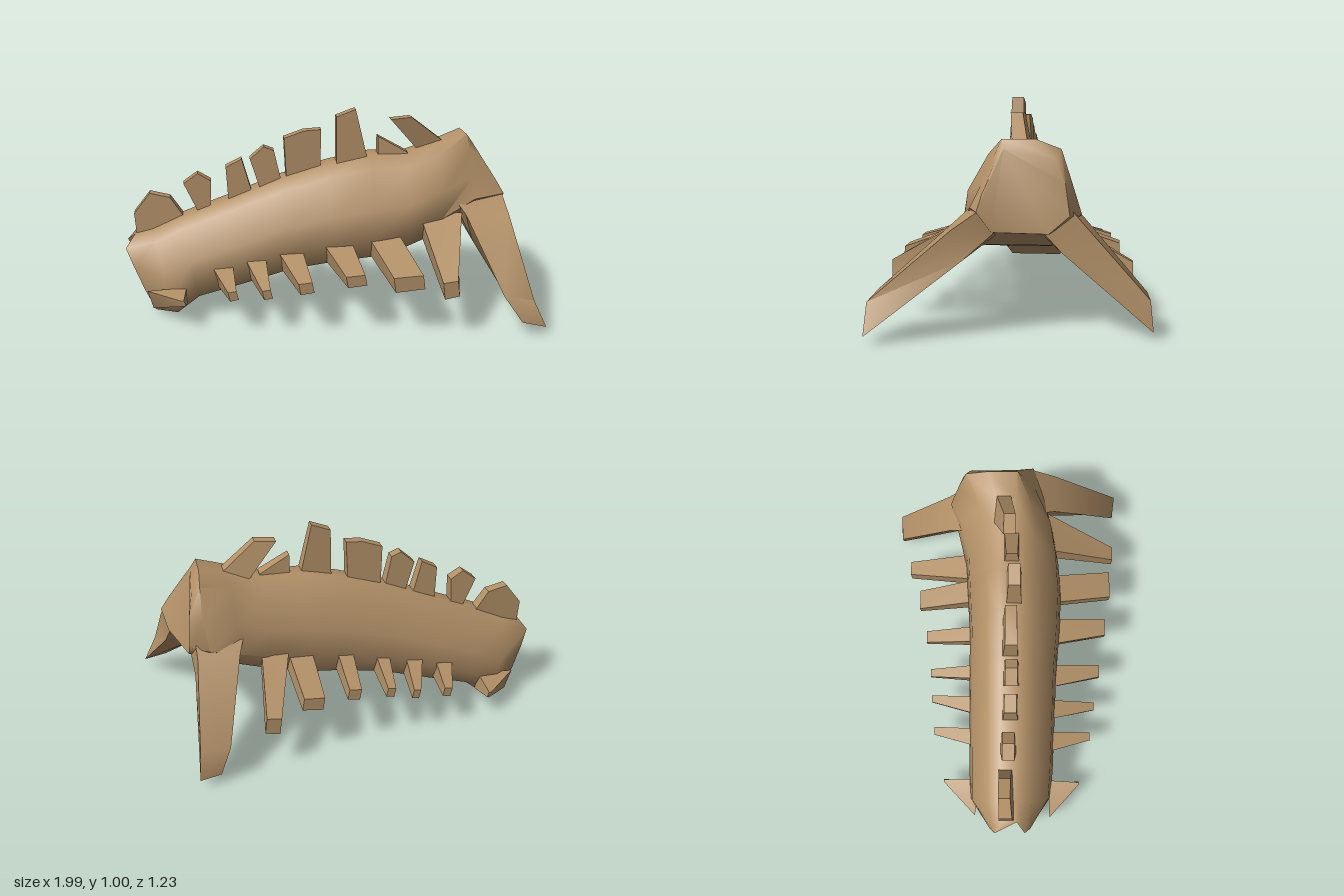
import * as THREE from 'three';
import { toCreasedNormals } from 'three/addons/utils/BufferGeometryUtils.js';

// Skin a row of equal-sized closed loops of [x, y, z] points; the last loop is
// always capped, the first only if asked (roots buried in the body stay open).
function loft(loops, crease, capStart = false) {
  const n = loops[0].length, pts = loops.flat(), idx = [];
  for (let i = 0; i < loops.length - 1; i++) {
    for (let j = 0; j < n; j++) {
      const a = i * n + j, b = i * n + (j + 1) % n;
      idx.push(a, b, a + n, b, b + n, a + n);
    }
  }
  const last = (loops.length - 1) * n;
  for (let j = 1; j < n - 1; j++) {
    idx.push(last, last + j, last + j + 1);
    if (capStart) idx.push(0, j + 1, j);
  }
  // Signed volume tells whether the faces point outward.
  let volume = 0;
  const origin = new THREE.Vector3(...pts[0]);
  const v = i => new THREE.Vector3(...pts[i]).sub(origin);
  for (let i = 0; i < idx.length; i += 3) {
    volume += v(idx[i]).dot(v(idx[i + 1]).cross(v(idx[i + 2])));
  }
  if (volume < 0) idx.reverse();
  const geo = new THREE.BufferGeometry();
  geo.setAttribute('position', new THREE.Float32BufferAttribute(pts.flat(), 3));
  geo.setIndex(idx);
  return toCreasedNormals(geo, crease);
}

export function createModel() {
  const group = new THREE.Group();
  const bone = new THREE.MeshStandardMaterial({ color: 0xb39168 });
  bone.name = 'tan bone';
  const add = (name, geo) => {
    const mesh = new THREE.Mesh(geo, bone);
    mesh.name = name;
    group.add(mesh);
  };

  // Body: [top x, top y, bottom x, bottom y, reach to -z, reach to +z]
  const stations = [
    [-0.86, 0.41, -0.75, 0.005, 0.2, 0.22],
    [-0.70, 0.48, -0.64, 0.09, 0.2, 0.23],
    [-0.48, 0.56, -0.42, 0.15, 0.2, 0.24],
    [-0.22, 0.66, -0.18, 0.22, 0.2, 0.25],
    [0.02, 0.73, 0.04, 0.255, 0.2, 0.27],
    [0.22, 0.77, 0.22, 0.275, 0.21, 0.28],
    [0.42, 0.77, 0.40, 0.32, 0.22, 0.27],
    [0.58, 0.82, 0.56, 0.38, 0.26, 0.24],
  ];
  // Half section: [fraction down from the top, fraction of the reach]
  const half = [[0, 0.2], [0.1, 0.52], [0.48, 0.92], [0.78, 1], [1, 0.67]];
  const ring = ([tx, ty, bx, by, back, front]) => {
    const at = (t, z) => [tx + (bx - tx) * t, ty + (by - ty) * t, z];
    return [
      ...half.map(([t, w]) => at(t, w * front)),
      ...half.slice().reverse().map(([t, w]) => at(t, -w * back)),
    ];
  };
  // Blunt rear plate, then the trunk
  const rear = [[-0.95, 0.39, 0.04], [-0.995, 0.33, 0.08], [-0.96, 0.25, 0.11], [-0.91, 0.13, 0.13], [-0.86, 0.015, 0.12]];
  const loops = [
    [...rear, ...rear.slice().reverse().map(([x, y, z]) => [x, y, -z * 0.85])],
    ...stations.map(ring),
  ];
  // Shoulder ring and the slanting face in front of it
  loops.push([
    [0.72, 0.86, 0.05], [0.73, 0.79, 0.08], [0.74, 0.66, 0.14], [0.74, 0.56, 0.19], [0.70, 0.43, 0.10],
    [0.69, 0.43, -0.16], [0.71, 0.53, -0.30], [0.73, 0.68, -0.255], [0.73, 0.82, -0.21], [0.72, 0.86, -0.10],
  ]);
  loops.push([
    [0.75, 0.82, 0.04], [0.79, 0.75, 0.08], [0.86, 0.64, 0.12], [0.90, 0.57, 0.14], [0.875, 0.48, 0.08],
    [0.80, 0.46, -0.16], [0.80, 0.54, -0.25], [0.79, 0.68, -0.23], [0.77, 0.78, -0.19], [0.75, 0.82, -0.09],
  ]);
  add('body', loft(loops, 1.0, true));

  // Front legs: quad sections from shoulder to foot
  add('leftFrontLeg', loft([
    [[0.62, 0.59, 0.15], [0.89, 0.575, 0.13], [0.87, 0.475, 0.07], [0.69, 0.43, 0.08]],
    [[0.68, 0.50, 0.25], [0.90, 0.49, 0.25], [0.89, 0.36, 0.20], [0.73, 0.35, 0.20]],
    [[0.79, 0.20, 0.59], [0.93, 0.18, 0.61], [0.995, 0.045, 0.615], [0.88, 0.07, 0.61]],
  ], 1.2));
  add('rightFrontLeg', loft([
    [[0.53, 0.58, -0.21], [0.77, 0.58, -0.24], [0.79, 0.47, -0.13], [0.62, 0.42, -0.12]],
    [[0.57, 0.50, -0.30], [0.77, 0.50, -0.31], [0.78, 0.37, -0.22], [0.64, 0.37, -0.22]],
    [[0.67, 0.18, -0.59], [0.81, 0.18, -0.60], [0.82, 0.04, -0.615], [0.72, 0.05, -0.60]],
  ], 1.2));

  // Ribs: [root x from, to, belly y, tip x from, to, tip y, tip z, tip half height]
  const ribs = [
    [-0.89, -0.70, 0.03, -0.72, -0.70, 0.14, 0.365, 0.015],
    [-0.57, -0.47, 0.14, -0.50, -0.45, 0.19, 0.425, 0.025],
    [-0.41, -0.31, 0.18, -0.34, -0.29, 0.20, 0.45, 0.025],
    [-0.25, -0.13, 0.215, -0.17, -0.095, 0.235, 0.48, 0.03],
    [-0.03, 0.11, 0.255, 0.05, 0.15, 0.275, 0.515, 0.03],
    [0.19, 0.34, 0.29, 0.27, 0.42, 0.265, 0.55, 0.04],
    [0.46, 0.67, 0.37, 0.50, 0.58, 0.235, 0.575, 0.045],
    [-0.88, -0.69, 0.03, -0.70, -0.68, 0.12, -0.335, 0.015],
    [-0.54, -0.45, 0.14, -0.47, -0.42, 0.20, -0.385, 0.025],
    [-0.38, -0.29, 0.18, -0.30, -0.255, 0.22, -0.40, 0.025],
    [-0.20, -0.13, 0.215, -0.17, -0.12, 0.25, -0.405, 0.025],
    [-0.01, 0.07, 0.255, 0.01, 0.08, 0.28, -0.43, 0.03],
    [0.20, 0.32, 0.29, 0.20, 0.31, 0.28, -0.47, 0.035],
    [0.31, 0.45, 0.33, 0.42, 0.50, 0.225, -0.53, 0.045],
  ];
  for (const [r0, r1, belly, t0, t1, ty, tz, h] of ribs) {
    const side = Math.sign(tz), flank = side > 0 ? 0.21 : 0.17;
    // Root flush with the flank above and the belly edge below, then a thin tip
    add(side > 0 ? 'leftRib' : 'rightRib', loft([
      [
        [r0, belly + 0.12, side * flank], [r1, belly + 0.13, side * flank],
        [r1, belly + 0.02, side * 0.14], [r0 + 0.02, belly, side * 0.14],
      ],
      [
        [t0, ty + h * 0.8, tz], [t1 - 0.01, ty + h, tz],
        [t1, ty - h * 0.7, tz], [t0 + 0.01, ty - h, tz],
      ],
    ], 0.9));
  }

  // Back spines: side outline rising from just under the back, base z, tip z
  const spines = [
    [[[-0.94, 0.37], [-0.95, 0.49], [-0.87, 0.59], [-0.77, 0.565], [-0.70, 0.46], [-0.80, 0.40]], -0.01, -0.02],
    [[[-0.63, 0.49], [-0.64, 0.52], [-0.70, 0.64], [-0.63, 0.69], [-0.565, 0.65], [-0.57, 0.51]], 0, 0],
    [[[-0.48, 0.54], [-0.49, 0.72], [-0.41, 0.76], [-0.36, 0.58]], 0.01, 0.01],
    [[[-0.32, 0.60], [-0.37, 0.76], [-0.30, 0.82], [-0.25, 0.80], [-0.215, 0.64]], 0.015, 0.015],
    [[[-0.19, 0.65], [-0.20, 0.86], [-0.10, 0.895], [-0.015, 0.90], [-0.02, 0.70]], 0.01, 0.015],
    [[[0.06, 0.72], [0.06, 0.965], [0.155, 1.0], [0.215, 0.75]], 0.03, 0.03],
    [[[0.27, 0.75], [0.27, 0.86], [0.42, 0.775], [0.42, 0.75]], 0.02, 0.02],
    [[[0.48, 0.775], [0.335, 0.94], [0.44, 0.95], [0.62, 0.81]], -0.03, 0.01],
  ];
  for (const [outline, baseZ, tipZ] of spines) {
    const low = Math.min(...outline.map(p => p[1]));
    const high = Math.max(...outline.map(p => p[1]));
    const face = s => outline.map(([x, y]) => {
      const t = (y - low) / (high - low);
      return [x, y, baseZ + (tipZ - baseZ) * t + s * (0.038 - 0.01 * t)];
    });
    add('backSpine', loft([face(-1), face(1)], 0.5, true));
  }
  return group;
}
